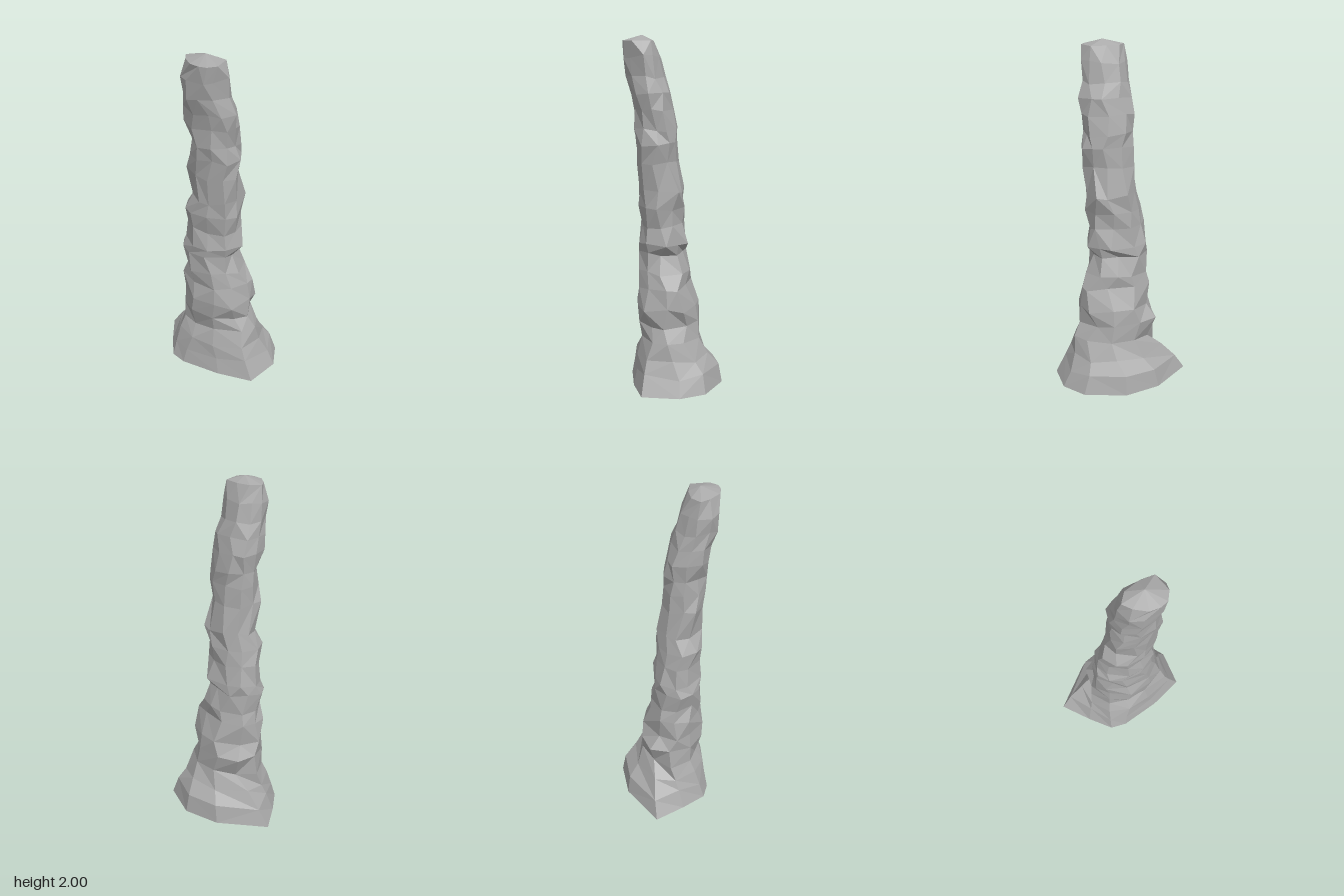
import * as THREE from 'three';

const SIDES = 10;

// Small seeded generator, returns -1..1
function makeNoise(seed) {
  let s = seed;
  return () => {
    s = (s * 16807) % 2147483647;
    return (s / 2147483647) * 2 - 1;
  };
}

// Footprint of the pillar on the ground (x, z)
const FOOT = [
  [0.385, -0.045], [0.363, 0.168], [0.16, 0.225], [-0.08, 0.252], [-0.175, 0.23],
  [-0.275, 0.105], [-0.385, -0.055], [-0.14, -0.24], [0.08, -0.285], [0.305, -0.19],
];

// Outline of the broken top (x, z)
const TOP = [
  [0.15, 0.17], [0.16, 0.225], [0.125, 0.272], [0.08, 0.283], [0.02, 0.275],
  [-0.045, 0.225], [-0.08, 0.175], [-0.035, 0.125], [0.05, 0.11], [0.14, 0.12],
];

// Cross-sections: height, min x, max x, min z, max z
const LEVELS = [
  [0.10, -0.32, 0.34, -0.265, 0.235],
  [0.18, -0.23, 0.30, -0.2, 0.22],
  [0.27, -0.21, 0.29, -0.15, 0.18],
  [0.37, -0.20, 0.25, -0.15, 0.21],
  [0.46, -0.19, 0.25, -0.145, 0.215],
  [0.58, -0.175, 0.235, -0.10, 0.195],
  [0.66, -0.165, 0.20, -0.095, 0.20],
  [0.77, -0.185, 0.15, -0.07, 0.20],
  [0.83, -0.17, 0.20, -0.085, 0.20],
  [0.93, -0.16, 0.17, -0.06, 0.19],
  [1.03, -0.15, 0.195, -0.065, 0.20],
  [1.13, -0.11, 0.185, -0.06, 0.20],
  [1.29, -0.10, 0.20, -0.03, 0.205],
  [1.40, -0.10, 0.21, -0.02, 0.215],
  [1.48, -0.095, 0.18, -0.02, 0.22],
  [1.59, -0.11, 0.20, 0.0, 0.225],
  [1.68, -0.10, 0.215, 0.02, 0.24],
  [1.77, -0.10, 0.18, 0.045, 0.27],
  [1.88, -0.095, 0.185, 0.07, 0.275],
];

// Uneven ring fitted exactly to its extents; low rings follow the footprint
function makeRing([y, x0, x1, z0, z1], level, noise) {
  const follow = [0.85, 0.4][level] ?? 0;
  const raw = FOOT.map(([fx, fz], i) => {
    const a = (i / SIDES) * Math.PI * 2 + noise() * 0.13;
    const r = 1 + noise() * 0.09;
    return [
      THREE.MathUtils.lerp(Math.cos(a) * r, fx / 0.385, follow),
      THREE.MathUtils.lerp(Math.sin(a) * r, fz / 0.27, follow),
    ];
  });
  const xs = raw.map((p) => p[0]);
  const zs = raw.map((p) => p[1]);
  const fit = (v, list, lo, hi) =>
    THREE.MathUtils.mapLinear(v, Math.min(...list), Math.max(...list), lo, hi);
  return raw.map(([x, z]) => [
    fit(x, xs, x0, x1), y + noise() * 0.014, fit(z, zs, z0, z1),
  ]);
}

function pillarGeometry() {
  const noise = makeNoise(4211);
  const rings = [
    FOOT.map(([x, z]) => [x, 0, z]),
    ...LEVELS.map((l, k) => makeRing(l, k, noise)),
    TOP.map(([x, z]) => [x, 1.968, z]),
  ];
  const pos = [];
  const tri = (a, b, c) => pos.push(...a, ...b, ...c);

  // Rough side facets, with the diagonals alternating irregularly
  for (let k = 0; k < rings.length - 1; k++) {
    for (let i = 0; i < SIDES; i++) {
      const j = (i + 1) % SIDES;
      const a = rings[k][i], b = rings[k][j];
      const c = rings[k + 1][j], d = rings[k + 1][i];
      if (noise() > 0) {
        tri(a, d, b);
        tri(b, d, c);
      } else {
        tri(a, d, c);
        tri(a, c, b);
      }
    }
  }

  // Flat underside and low pointed cap
  const top = rings[rings.length - 1];
  for (let i = 0; i < SIDES; i++) {
    const j = (i + 1) % SIDES;
    tri([0, 0, 0], rings[0][i], rings[0][j]);
    tri([0.05, 2, 0.175], top[j], top[i]);
  }

  const geometry = new THREE.BufferGeometry();
  geometry.setAttribute('position', new THREE.Float32BufferAttribute(pos, 3));
  geometry.computeVertexNormals();
  return geometry;
}

export function createModel() {
  const stone = new THREE.MeshStandardMaterial({ color: 0xaaaaaa });
  stone.name = 'grey stone';
  stone.flatShading = true;

  const pillar = new THREE.Mesh(pillarGeometry(), stone);
  pillar.name = 'rockPillar';

  const group = new THREE.Group();
  group.name = 'stalagmite';
  group.add(pillar);
  return group;
}
